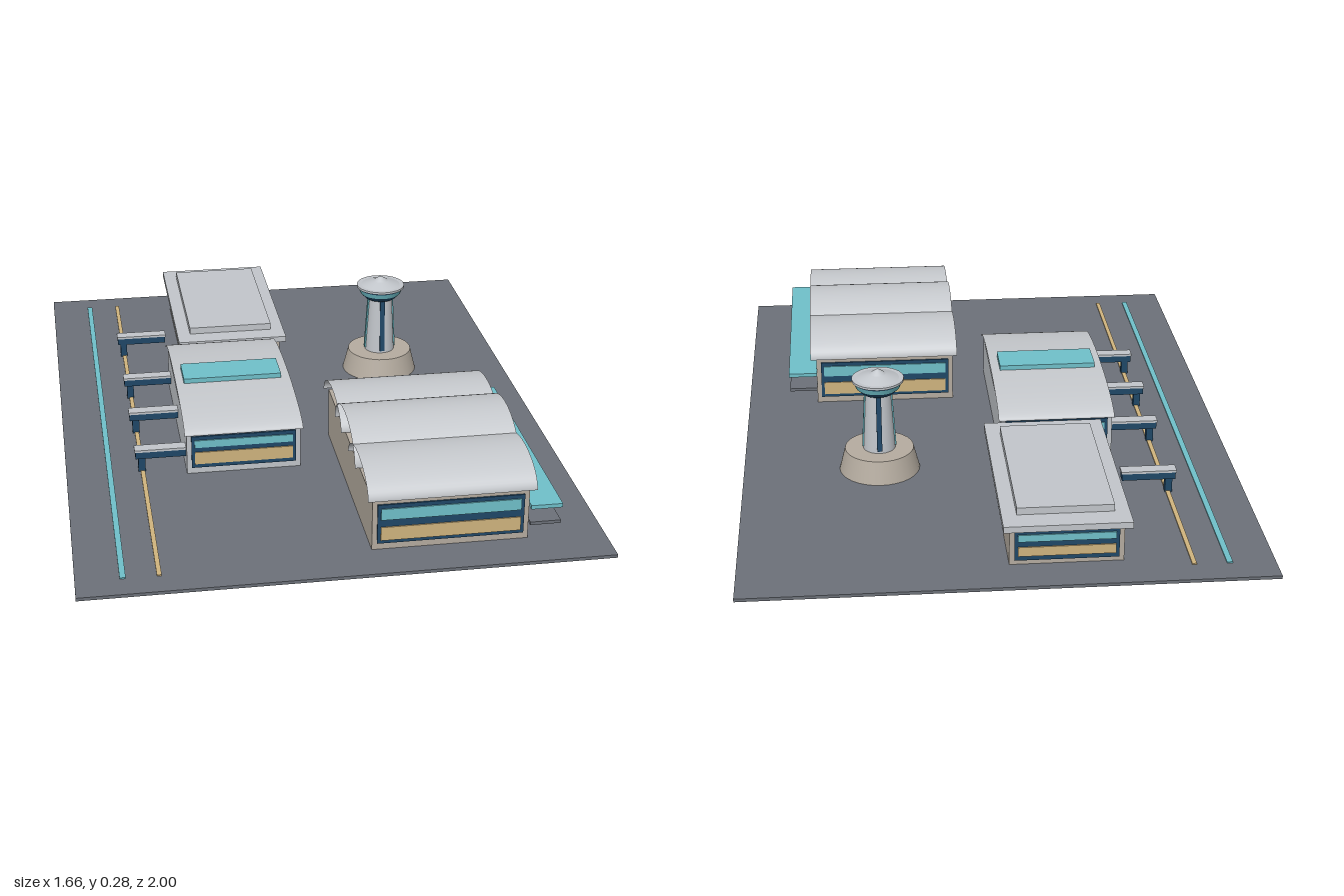
import * as THREE from 'three';

const mat = (name, color, side = THREE.FrontSide) => {
  const m = new THREE.MeshStandardMaterial({ color, side });
  m.name = name;
  return m;
};

export function createModel() {
  const asphalt = mat('asphalt grey', 0x6c7179);
  const beige = mat('beige wall', 0xb5aca0);
  const pale = mat('pale grey', 0xc2c6cb);
  const shell = mat('roof shell grey', 0xc6c9cd, THREE.DoubleSide);
  const navy = mat('navy glazing', 0x1f4767);
  const cyan = mat('cyan accent', 0x70c0ca);
  const tan = mat('tan accent', 0xd0b47e);

  const model = new THREE.Group();
  model.name = 'airport';
  // the whole site is turned in plan
  const site = new THREE.Group();
  site.name = 'site';
  site.rotation.y = -Math.PI / 12;
  model.add(site);

  const add = (parent, name, geo, material, x, y, z) => {
    const mesh = new THREE.Mesh(geo, material);
    mesh.name = name;
    mesh.position.set(x, y, z);
    parent.add(mesh);
    return mesh;
  };
  // box from its lower and upper limits
  const box = (parent, name, material, [x0, x1], [y0, y1], [z0, z1]) =>
    add(parent, name, new THREE.BoxGeometry(x1 - x0, y1 - y0, z1 - z0), material,
      (x0 + x1) / 2, (y0 + y1) / 2, (z0 + z1) / 2);
  const group = (name) => {
    const g = new THREE.Group();
    g.name = name;
    site.add(g);
    return g;
  };

  // open elliptical barrel roof with its axis along x
  const vault = (parent, [x0, x1], base, rise, zMid, half) => {
    const geo = new THREE.CylinderGeometry(1, 1, x1 - x0, 28, 1, true, -Math.PI / 2, Math.PI);
    geo.rotateX(-Math.PI / 2).rotateY(Math.PI / 2).scale(1, rise, half);
    add(parent, 'vaultRoof', geo, shell, (x0 + x1) / 2, base, zMid);
  };

  // glazed panel with two coloured bands on both end walls
  const endPanels = (parent, [x0, x1], [z0, z1], yRange, cyanRange, tanRange) => {
    for (const [z, s] of [[z0, -1], [z1, 1]]) {
      const plate = (name, m, inset, y, t) =>
        box(parent, name, m, [x0 + inset, x1 - inset], y, s > 0 ? [z, z + t] : [z - t, z]);
      plate('endGlazing', navy, 0.012, yRange, 0.004);
      plate('upperBand', cyan, 0.02, cyanRange, 0.007);
      plate('lowerBand', tan, 0.02, tanRange, 0.007);
    }
  };

  // ground and painted lines
  box(site, 'ground', asphalt, [-0.628, 0.628], [0, 0.008], [-0.867, 0.867]);
  box(site, 'cyanLine', cyan, [-0.526, -0.512], [0.008, 0.011], [-0.8, 0.8]);
  box(site, 'tanLine', tan, [-0.441, -0.43], [0.008, 0.011], [-0.8, 0.8]);

  // flat-roofed hall
  const hall = group('flatRoofHall');
  box(hall, 'walls', beige, [-0.275, -0.005], [0.008, 0.104], [-0.766, -0.268]);
  box(hall, 'eaveSlab', pale, [-0.291, 0.011], [0.104, 0.12], [-0.788, -0.246]);
  box(hall, 'raisedRoof', pale, [-0.255, -0.025], [0.12, 0.138], [-0.732, -0.302]);
  endPanels(hall, [-0.275, -0.005], [-0.766, -0.268], [0.02, 0.098], [0.07, 0.088], [0.032, 0.056]);

  // middle terminal
  const terminal = group('middleTerminal');
  box(terminal, 'walls', pale, [-0.325, -0.035], [0.008, 0.116], [-0.222, 0.318]);
  vault(terminal, [-0.33, -0.029], 0.116, 0.04, 0.047, 0.278);
  box(terminal, 'skylight', cyan, [-0.309, -0.053], [0.153, 0.168], [0, 0.097]);
  endPanels(terminal, [-0.325, -0.035], [-0.222, 0.318], [0.025, 0.112], [0.082, 0.102], [0.036, 0.069]);

  // hangar with three overlapping vaults
  const hangar = group('hangar');
  box(hangar, 'walls', beige, [0.065, 0.44], [0.008, 0.138], [0.152, 0.758]);
  for (const [z, half, rise] of [[0.275, 0.13, 0.059], [0.455, 0.14, 0.081], [0.635, 0.13, 0.059]])
    vault(hangar, [0.053, 0.456], 0.138, rise, z, half);
  box(hangar, 'upperCanopy', cyan, [0.44, 0.516], [0.094, 0.104], [0.133, 0.777]);
  box(hangar, 'lowerCanopy', asphalt, [0.44, 0.514], [0.051, 0.059], [0.135, 0.775]);
  endPanels(hangar, [0.065, 0.44], [0.152, 0.758], [0.025, 0.127], [0.088, 0.117], [0.034, 0.069]);

  // boarding bridges along the apron
  for (const z of [-0.435, -0.152, 0.063, 0.281]) {
    const bridge = group('boardingBridge');
    box(bridge, 'bridgeCabin', navy, [-0.453, -0.318], [0.046, 0.065], [z - 0.013, z + 0.013]);
    box(bridge, 'bridgeRoof', pale, [-0.455, -0.316], [0.065, 0.071], [z - 0.016, z + 0.016]);
    box(bridge, 'bridgeLeg', navy, [-0.446, -0.428], [0.008, 0.046], [z - 0.009, z + 0.009]);
  }

  // control tower
  const tower = group('controlTower');
  tower.position.set(0.28, 0, -0.25);
  const drum = (name, m, rTop, rBottom, y0, y1) =>
    add(tower, name, new THREE.CylinderGeometry(rTop, rBottom, y1 - y0, 32), m, 0, (y0 + y1) / 2, 0);
  drum('towerBase', beige, 0.088, 0.103, 0.008, 0.067);
  drum('shaft', pale, 0.032, 0.041, 0.067, 0.228);
  drum('cabFloor', navy, 0.056, 0.042, 0.224, 0.238);
  drum('cabWindows', cyan, 0.061, 0.056, 0.238, 0.251);
  drum('cabBand', navy, 0.062, 0.061, 0.251, 0.255);
  drum('cabRoof', pale, 0.066, 0.066, 0.255, 0.261);
  drum('roofCone', pale, 0.02, 0.054, 0.261, 0.273);
  drum('roofTip', pale, 0.004, 0.02, 0.273, 0.284);
  // glazed strips up the shaft
  for (let i = 0; i < 4; i++) {
    const strip = new THREE.BoxGeometry(0.013, 0.15, 0.006);
    strip.rotateX(-0.056).translate(0, 0, 0.0365).rotateY(i * Math.PI / 2);
    add(tower, 'shaftStrip', strip, i % 2 ? cyan : navy, 0, 0.148, 0);
  }

  return model;
}
